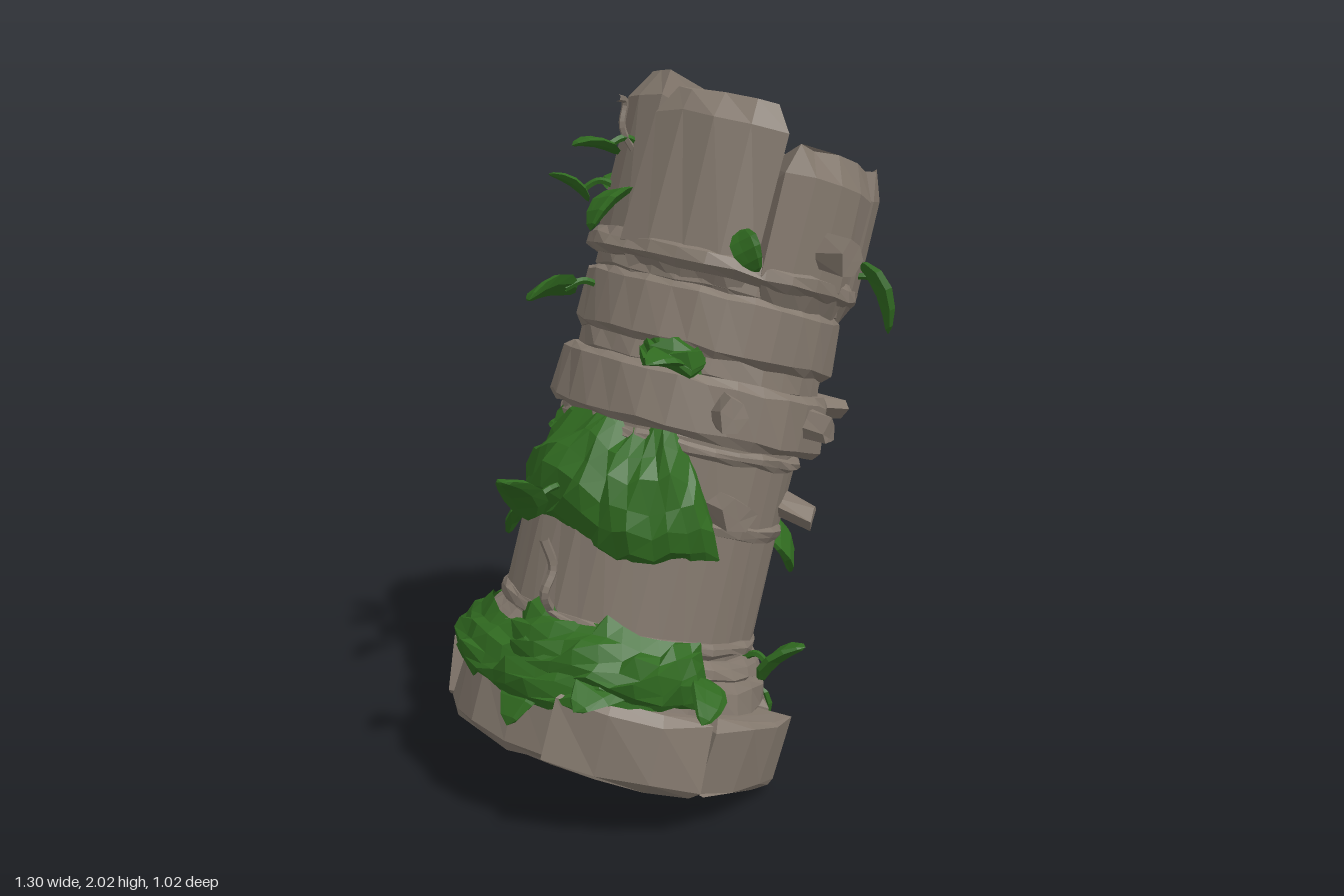
import * as THREE from 'three';

const RAD = Math.PI / 180;
const UP = new THREE.Vector3(0, 1, 0);
const V = (x, y, z) => new THREE.Vector3(x, y, z);
const stone = new THREE.MeshStandardMaterial({ color: 0x83786d, flatShading: true });
stone.name = 'weathered stone';
const green = new THREE.MeshStandardMaterial({ color: 0x306a20, flatShading: true, side: THREE.DoubleSide });
green.name = 'moss green';

// Position-based noise, so that coincident vertices stay together
const hash = (x, y, z) => {
  const q = (n) => Math.round(n * 200);
  const s = Math.sin(q(x) * 12.9898 + q(y) * 78.233 + q(z) * 37.719) * 43758.5453;
  return (s - Math.floor(s)) * 2 - 1;
};
const warp = (geo, rule) => {
  const p = geo.attributes.position;
  const v = V(0, 0, 0);
  for (let i = 0; i < p.count; i++) {
    rule(v.fromBufferAttribute(p, i));
    p.setXYZ(i, v.x, v.y, v.z);
  }
  geo.computeVertexNormals();
  return geo;
};
const roughen = (geo, amount) => warp(geo, (v) => {
  const n = hash(v.x, v.y, v.z), m = hash(v.z, v.x, v.y);
  const k = 1 + n * amount;
  v.set(v.x * k, v.y + m * amount * 0.35, v.z * k);
});
const polar = (deg, t, r) => V(r * Math.cos(deg * RAD), t, r * Math.sin(deg * RAD));
const add = (parent, name, geo, mat) => {
  const mesh = new THREE.Mesh(geo, mat);
  mesh.name = name;
  parent.add(mesh);
  return mesh;
};

// Round stone course with chamfered edges, shifted sideways
function drum(t0, t1, r0, r1, shift, c = 0.02) {
  const pts = [[0, t0], [r0 - c, t0], [r0, t0 + c], [r1, t1 - c], [r1 - c, t1], [0, t1]];
  const geo = new THREE.LatheGeometry(pts.map(([x, y]) => new THREE.Vector2(x, y)), 30);
  return roughen(geo, 0.016).translate(shift, 0, 0);
}

// Chamfered pie-shaped block, its top rising outward by slope
function wedge(a0, a1, r, t0, t1, bevel, thick, slope) {
  const mid = (a0 + a1) / 2 * RAD;
  const shape = new THREE.Shape();
  shape.moveTo(0.03 * Math.cos(mid), -0.03 * Math.sin(mid));
  const n = Math.max(3, Math.round((a1 - a0) / 15));
  for (let i = 0; i <= n; i++) {
    const a = (a0 + (a1 - a0) * i / n) * RAD;
    shape.lineTo(r * Math.cos(a), -r * Math.sin(a));
  }
  const geo = new THREE.ExtrudeGeometry(shape, {
    depth: t1 - t0 - 2 * thick, bevelEnabled: true, bevelSegments: 1,
    bevelThickness: thick, bevelSize: bevel, bevelOffset: -bevel,
  });
  geo.rotateX(-Math.PI / 2).translate(0, t0 + thick, 0);
  warp(geo, (v) => { if (v.y > (t0 + t1) / 2) v.y += slope * (Math.hypot(v.x, v.z) - r); });
  return roughen(geo, 0.03);
}

// Lumpy moss shell wrapped round the column; its edges sink into the stone
function mossShell(a0, a1, t0, t1, r, bulge, narrow) {
  const geo = new THREE.PlaneGeometry(1, 1, Math.round((a1 - a0) / 8), 7);
  return warp(geo, (v) => {
    const u = 0.5 - v.x, w = v.y + 0.5;
    const n = hash(v.x * 3, v.y * 3, 1);
    const a = (a0 + a1) / 2 + (u - 0.5) * (a1 - a0) * (1 - narrow * w) + n * 2;
    const edge = Math.min(1, 2.2 * Math.sqrt(Math.max(0, u * (1 - u)))) * Math.sin(Math.PI * w ** 0.75);
    const t = t0 + (t1 - t0) * w + n * 0.018 + 0.04 * narrow * Math.sin(u * 14);
    v.copy(polar(a, t, r - 0.03 + (bulge + 0.03) * edge * (1 + 0.2 * n)));
  });
}

// Thick broad leaf: pointed, folded along its length
function leafGeometry() {
  return warp(new THREE.SphereGeometry(1, 7, 6), (v) => {
    v.x *= 0.68 * (1 - 0.3 * v.y);
    v.z = v.z * 0.2 + 0.25 * Math.abs(v.x) - 0.25 * v.y * v.y;
  });
}

export function createModel() {
  const model = new THREE.Group();
  model.name = 'ruinedColumn';
  const column = new THREE.Group();
  column.name = 'leaningColumn';
  column.position.set(-0.18, 0.12, -0.02);
  column.rotation.set(0.025, 0, -16 * RAD);
  model.add(column);

  // Broken plinth: solid core and split outer blocks
  add(column, 'plinthCore', drum(-0.008, 0.2, 0.41, 0.4, -0.02), stone);
  [[8, 46, 0.44], [53, 98, 0.495], [98.5, 150, 0.49], [150.5, 215, 0.475],
    [215.5, 280, 0.495], [280.5, 322, 0.485], [322.5, 367, 0.44]]
    .forEach(([a, b, r]) => add(column, 'plinthBlock', wedge(a, b, r, 0, 0.21, 0.02, 0.02, 0), stone));

  // Stacked courses: bottom, top, lower radius, upper radius, sideways shift
  const courses = {
    baseRing: [0.19, 0.29, 0.435, 0.42, -0.03], baseFillet: [0.28, 0.345, 0.405, 0.39, -0.035],
    lowerShaft: [0.32, 0.71, 0.365, 0.36, -0.04], middleShaft: [0.69, 0.95, 0.345, 0.345, -0.015],
    broadBand: [0.93, 1.1, 0.4, 0.39, 0], lowerNeck: [1.08, 1.18, 0.355, 0.35, 0],
    upperBand: [1.15, 1.33, 0.375, 0.37, 0], upperNeck: [1.31, 1.4, 0.355, 0.355, 0],
    collar: [1.36, 1.43, 0.395, 0.39, 0], crownCore: [1.4, 1.6, 0.335, 0.28, 0.005],
  };
  for (const name in courses) add(column, name, drum(...courses[name]), stone);

  // Thin joint lips under the courses
  [[0.37, 0.378, -0.04], [0.7, 0.365, -0.03], [0.9, 0.357, -0.01]].forEach(([t, r, shift]) =>
    add(column, 'jointLip', drum(t - 0.02, t + 0.02, r, r, shift, 0.01), stone));

  // Crown of split, worn blocks: start and end angle, radius, height, outward rise
  [[0, 60, 0.39, 1.76, 0.12], [61, 116, 0.385, 1.75, 0.2], [118, 178, 0.38, 1.84, 0.3],
    [179, 241, 0.365, 1.88, 0.15], [242, 311, 0.375, 1.82, 0.15], [312, 359, 0.385, 1.78, 0.1]]
    .forEach(([a, b, r, t, rise]) =>
      add(column, 'crownBlock', wedge(a, b, r, 1.31, t, 0.035, 0.085, rise), stone));

  // Protruding stubs: angle, height, seat radius, width, thickness
  [[87, 1.49, 0.41, 0.08, 0.08], [116, 1.02, 0.4, 0.075, 0.075], [73, 1.02, 0.4, 0.07, 0.07],
    [25, 1.07, 0.39, 0.15, 0.06], [103, 0.757, 0.365, 0.11, 0.065], [50, 0.775, 0.365, 0.14, 0.065]]
    .forEach(([a, t, r, w, h]) => {
      const geo = new THREE.CylinderGeometry(0.52, 0.58, 0.12, 6, 1).rotateX(Math.PI / 2).rotateZ(Math.PI / 6);
      const stub = add(column, 'stoneStub', roughen(geo.scale(w, h, 1), 0.06), stone);
      stub.position.copy(polar(a, t, r));
      stub.rotation.y = (90 - a) * RAD;
    });

  // Moss patches: angles, heights, radius, bulge, narrowing towards the top
  add(column, 'plinthMoss', mossShell(112, 290, 0.12, 0.32, 0.46, 0.045, 0), green);
  add(column, 'frontMoss', mossShell(92, 190, 0.19, 0.4, 0.43, 0.06, 0.25), green);
  add(column, 'ringMoss', mossShell(292, 375, 0.25, 0.32, 0.4, 0.018, 0), green);
  add(column, 'shaftMoss', mossShell(88, 246, 0.54, 0.99, 0.36, 0.08, 0.6), green);
  add(column, 'bandMoss', mossShell(125, 160, 1.07, 1.2, 0.375, 0.04, 0.3), green);

  const tube = (name, pts, r, mat) => {
    const curve = new THREE.CatmullRomCurve3(pts);
    add(model, name, new THREE.TubeGeometry(curve, pts.length * 4, r, 5), mat);
    return curve;
  };

  // Leaf pointing away from the column, raised or drooping by lift, on a stem
  const leafGeo = leafGeometry();
  const addLeaf = (pos, lift, size) => {
    const n = hash(pos.x, pos.y, pos.z);
    const axis = V(-0.18 + 0.287 * (pos.y - 0.12), pos.y, 0);
    const out = pos.clone().sub(axis).normalize();
    const dir = out.clone().addScaledVector(UP, lift).normalize();
    const side = out.clone().cross(UP);
    const leaf = add(model, 'leaf', leafGeo, green);
    leaf.quaternion.setFromRotationMatrix(
      new THREE.Matrix4().makeBasis(side, dir, side.clone().cross(dir)));
    leaf.rotateZ(n * 0.5);
    leaf.rotateY(n * 0.6);
    leaf.position.copy(pos);
    leaf.scale.setScalar(size);
    const root = axis.addScaledVector(out, 0.32).addScaledVector(UP, -0.03);
    const tip = pos.clone().addScaledVector(dir, -size * 0.5);
    const bend = root.clone().lerp(tip, 0.6).addScaledVector(UP, 0.03);
    tube('leafStem', [root, bend, tip], 0.01, green);
  };

  // Leaves on the upper half, then on the lower half: x, y, z, lift, half length
  [[-0.18, 1.82, -0.06, 0.2, 0.07], [-0.16, 1.66, -0.04, -0.7, 0.09], [-0.11, 1.7, -0.28, 0.7, 0.07],
    [-0.02, 1.56, 0.38, -3, 0.06], [-0.3, 1.43, -0.12, 0, 0.09], [0.27, 1.59, -0.43, -2, 0.1],
    [0.14, 1.69, -0.41, 0.4, 0.07], [0.41, 1.5, -0.33, -1.5, 0.06], [0.49, 1.4, 0.37, -2, 0.11],
    [0.52, 1.19, 0.08, -4, 0.08], [0.51, 1.18, -0.08, -4, 0.08], [-0.2, 1.28, 0.26, 0.2, 0.07]]
    .forEach(([x, y, z, lift, size]) => addLeaf(V(x, y, z), lift, size));
  [[-0.53, 0.93, 0.06, 1.1, 0.1], [-0.12, 0.8, -0.4, -2, 0.1], [-0.25, 0.74, -0.36, -1, 0.1],
    [-0.08, 0.97, -0.4, 0.1, 0.06], [0.3, 0.65, 0.19, -1.6, 0.1], [0.1, 0.42, 0.4, 1, 0.09],
    [-0.2, 0.4, 0.44, -0.4, 0.09], [0.27, 0.15, 0.13, -5, 0.08], [-0.53, 0.4, 0.1, -0.5, 0.12],
    [-0.42, 0.43, 0.28, 0, 0.12]]
    .forEach(([x, y, z, lift, size]) => addLeaf(V(x, y, z), lift, size));

  // Climbing vines on the lower side, with leaves along them
  const mainVine = tube('mainVine', [V(0.15, 0.28, 0.12), V(0.24, 0.34, -0.02), V(0.27, 0.44, -0.14),
    V(0.32, 0.6, -0.17), V(0.41, 0.6, -0.27), V(0.39, 0.52, -0.4), V(0.31, 0.47, -0.46),
    V(0.29, 0.34, -0.46)], 0.02, green);
  const upperShoot = tube('vineShoot', [V(0.22, 0.68, -0.15), V(0.33, 0.65, -0.18),
    V(0.4, 0.55, -0.22), V(0.45, 0.48, -0.28)], 0.015, green);
  const lowerShoot = tube('vineShoot', [V(0.24, 0.28, -0.1), V(0.3, 0.36, -0.2),
    V(0.35, 0.48, -0.24), V(0.43, 0.61, -0.22)], 0.015, green);
  [0.17, 0.33, 1].forEach((u) => addLeaf(mainVine.getPointAt(u), -1.5, 0.08));
  addLeaf(upperShoot.getPointAt(0.95), -0.2, 0.06);
  addLeaf(lowerShoot.getPointAt(0.95), 0.4, 0.06);

  // Dry roots on the upper and lower side
  tube('dryRoot', [V(-0.04, 1.76, -0.04), V(-0.1, 1.86, -0.05), V(-0.09, 1.93, -0.05),
    V(-0.13, 1.94, -0.03)], 0.01, stone);
  tube('dryRoot', [V(-0.44, 0.58, 0.08), V(-0.48, 0.65, 0.1), V(-0.45, 0.72, 0.1),
    V(-0.47, 0.8, 0.09)], 0.014, stone);

  return model;
}
